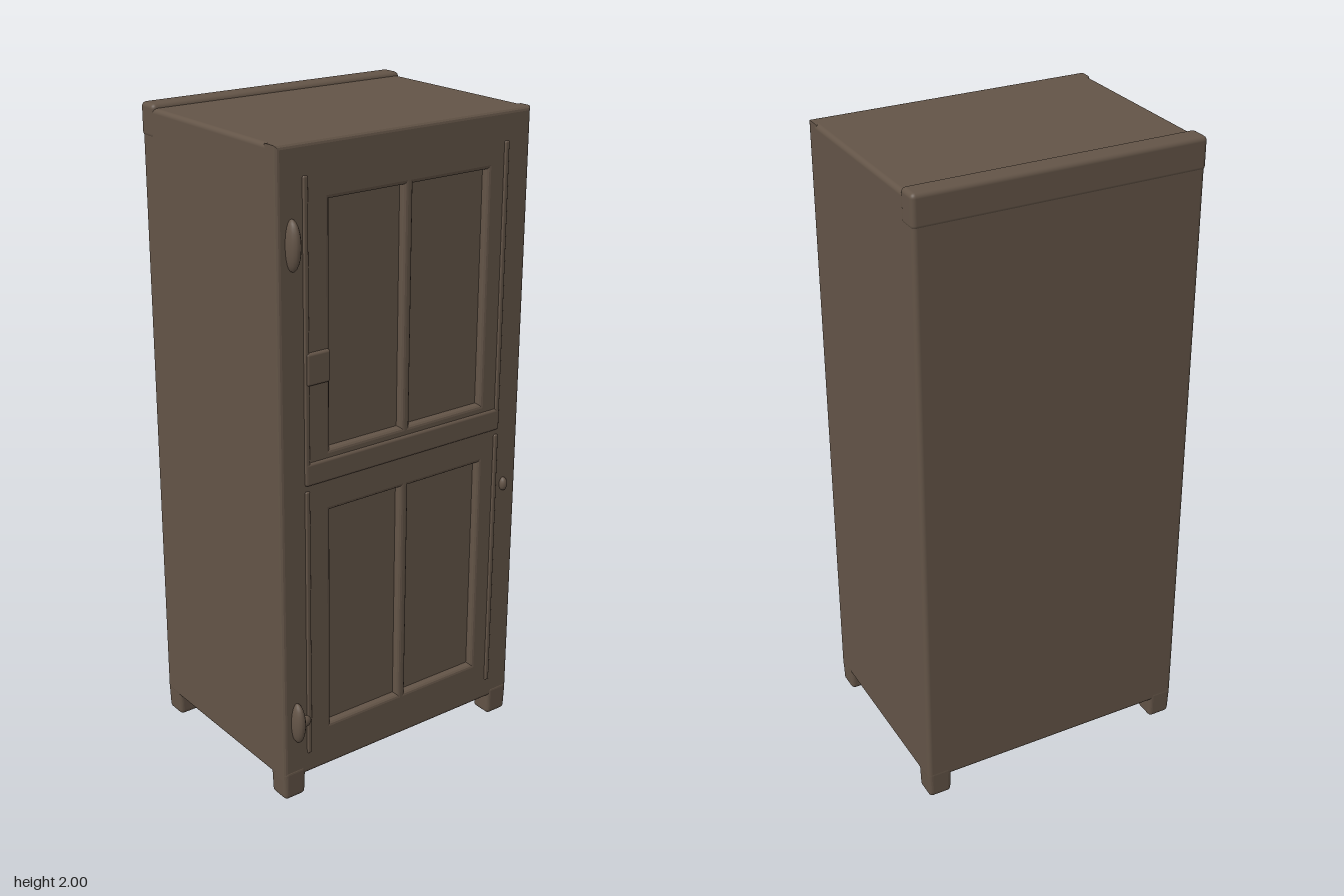
import * as THREE from 'three';
import { RoundedBoxGeometry } from 'three/addons/geometries/RoundedBoxGeometry.js';

const wood = new THREE.MeshStandardMaterial({ color: 0x635447 });
wood.name = 'dark brown wood';

function add(group, name, geometry, x = 0, y = 0, z = 0) {
  const mesh = new THREE.Mesh(geometry, wood);
  mesh.name = name;
  mesh.position.set(x, y, z);
  group.add(mesh);
  return mesh;
}

// Rounded box given by its limits on each axis
function block(group, name, [x0, x1], [y0, y1], [z0, z1], radius) {
  const geometry = new RoundedBoxGeometry(x1 - x0, y1 - y0, z1 - z0, 3, radius);
  return add(group, name, geometry, (x0 + x1) / 2, (y0 + y1) / 2, (z0 + z1) / 2);
}

function rectangle(path, x0, x1, y0, y1) {
  path.moveTo(x0, y0);
  path.lineTo(x1, y0);
  path.lineTo(x1, y1);
  path.lineTo(x0, y1);
  path.closePath();
  return path;
}

export function createModel() {
  const cabinet = new THREE.Group();
  cabinet.name = 'cabinet';

  // Carcass, and the raised lip along the back of the top
  block(cabinet, 'body', [-0.443, 0.443], [0.07, 1.988], [-0.353, 0.294], 0.014);
  block(cabinet, 'backLip', [-0.445, 0.445], [1.9, 2], [-0.355, -0.285], 0.014);

  // Front frame with sunken door panels and narrow channels beside them
  const bevel = 0.012;
  const front = rectangle(new THREE.Shape(), -0.443 + bevel, 0.443 - bevel, 0.07 + bevel, 1.988 - bevel);
  const cut = (x0, x1, y0, y1) => front.holes.push(
    rectangle(new THREE.Path(), x0 - bevel, x1 + bevel, y0 - bevel, y1 + bevel));
  for (const [y0, y1] of [[1.11, 1.825], [0.215, 0.92]]) {
    cut(-0.27, -0.016, y0, y1);
    cut(0.016, 0.285, y0, y1);
  }
  const frameGeometry = new THREE.ExtrudeGeometry(front, {
    depth: 0.034, bevelEnabled: true, bevelThickness: bevel, bevelSize: bevel, bevelSegments: 3
  });
  add(cabinet, 'frontFrame', frameGeometry, 0, 0, 0.272);

  // Slim raised mouldings that outline the doors
  for (const [y0, y1] of [[1.02, 1.9], [0.14, 1.0]]) {
    for (const side of [-1, 1]) {
      const x = side * 0.352;
      block(cabinet, 'doorMoulding', [x - 0.008, x + 0.008], [y0, y1], [0.31, 0.324], 0.005);
    }
  }
  block(cabinet, 'middleRail', [-0.36, 0.36], [1.015, 1.085], [0.305, 0.325], 0.009);

  // Four short feet, tapering towards the floor
  for (const sx of [-1, 1]) {
    for (const z of [-0.315, 0.281]) {
      const foot = new RoundedBoxGeometry(0.08, 0.1, 0.078, 3, 0.014);
      const p = foot.attributes.position;
      for (let i = 0; i < p.count; i++) {
        const k = 0.92 + 0.08 * (p.getY(i) + 0.05) / 0.1;
        p.setX(i, p.getX(i) * k);
        p.setZ(i, p.getZ(i) * k);
      }
      foot.computeVertexNormals();
      add(cabinet, 'foot', foot, sx * 0.403, 0.05, z);
    }
  }

  // Hinges on the right stile
  const knob = (name, x, y, z, rx, ry, rz) =>
    add(cabinet, name, new THREE.SphereGeometry(1, 16, 12), x, y, z).scale.set(rx, ry, rz);
  knob('upperHinge', -0.397, 1.72, 0.323, 0.02, 0.072, 0.032);
  knob('lowerHinge', -0.397, 0.262, 0.323, 0.02, 0.066, 0.032);
  knob('lowerHingePin', -0.372, 0.258, 0.322, 0.022, 0.018, 0.014);

  // Latch plate and small door knob
  block(cabinet, 'latch', [-0.355, -0.275], [1.315, 1.41], [0.295, 0.328], 0.008);
  knob('doorKnob', 0.388, 0.827, 0.322, 0.013, 0.022, 0.014);

  return cabinet;
}
